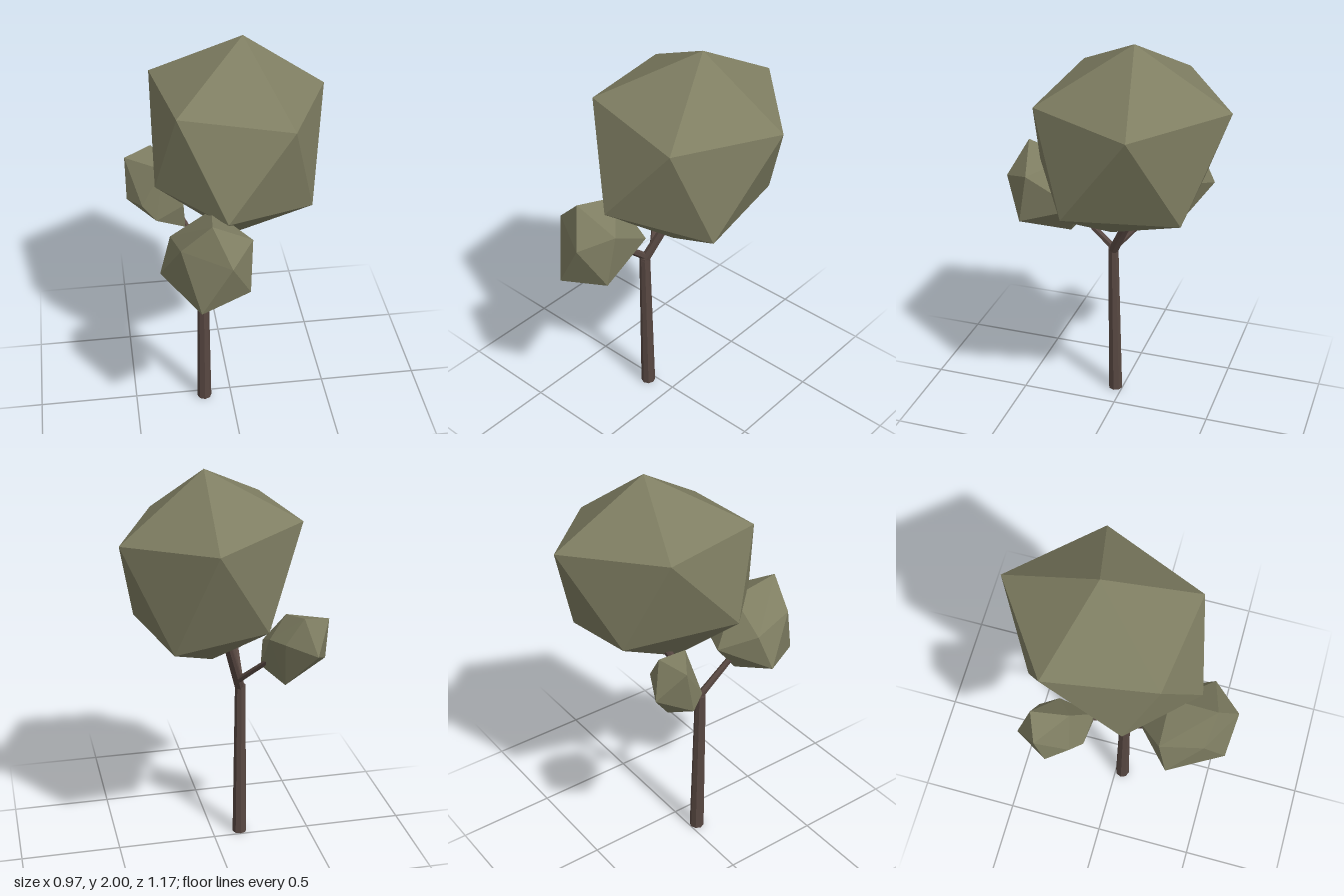
import * as THREE from 'three';
import { ConvexGeometry } from 'three/addons/geometries/ConvexGeometry.js';

export function createModel() {
  const tree = new THREE.Group();
  tree.name = 'tree';
  const foliage = new THREE.MeshStandardMaterial({ name: 'olive foliage', color: 0x7f7e62, flatShading: true });
  const bark = new THREE.MeshStandardMaterial({ name: 'brown bark', color: 0x584842, flatShading: true });

  // Faceted leaf clump: an irregular twelve-cornered icosahedron
  function clump(name, corners) {
    const geometry = new ConvexGeometry(corners.map(c => new THREE.Vector3(...c)));
    const mesh = new THREE.Mesh(geometry, foliage);
    mesh.name = name;
    tree.add(mesh);
  }

  // Tapered limb between two points
  function limb(name, from, to, r0, r1, sides) {
    const a = new THREE.Vector3(...from), b = new THREE.Vector3(...to);
    const dir = b.clone().sub(a);
    const mesh = new THREE.Mesh(new THREE.CylinderGeometry(r1, r0, dir.length(), sides), bark);
    mesh.position.copy(a).add(b).multiplyScalar(0.5);
    mesh.quaternion.setFromUnitVectors(new THREE.Vector3(0, 1, 0), dir.normalize());
    mesh.name = name;
    tree.add(mesh);
  }

  // Main crown: tip, upper ring, lower ring, bottom
  clump('mainCrown', [
    [0.075, 2, -0.12],
    [0.255, 1.715, 0.305], [-0.27, 1.785, 0.24], [-0.35, 1.775, -0.275], [0.1, 1.735, -0.585], [0.48, 1.69, -0.205],
    [-0.06, 1.32, 0.4], [0.375, 1.225, 0.14], [0.27, 1.225, -0.405], [-0.165, 1.3, -0.41], [-0.365, 1.36, 0.095],
    [0.01, 1.01, 0.01],
  ]);

  // Smaller clump on the front branch
  clump('frontClump', [
    [-0.145, 1.38, 0.49],
    [0.045, 1.26, 0.44], [-0.065, 1.205, 0.583], [-0.285, 1.245, 0.465], [-0.315, 1.19, 0.26], [-0.12, 1.32, 0.26],
    [-0.37, 1.02, 0.31], [-0.205, 0.96, 0.567], [0.03, 1.005, 0.487], [0.0, 1.1, 0.19], [-0.18, 1.1, 0.12],
    [-0.13, 0.915, 0.27],
  ]);

  // Smallest clump on the back branch
  clump('backClump', [
    [-0.35, 1.33, -0.345],
    [-0.485, 1.3, -0.29], [-0.31, 1.29, -0.17], [-0.21, 1.2, -0.25], [-0.265, 1.2, -0.335], [-0.405, 1.155, -0.403],
    [-0.485, 1.085, -0.25], [-0.415, 1.1, -0.15], [-0.35, 1.04, -0.1], [-0.21, 1.0, -0.09], [-0.29, 0.96, -0.255],
    [-0.22, 1.13, -0.08],
  ]);

  // Trunk and its three branches
  limb('trunk', [-0.142, 0, 0.037], [-0.142, 0.84, 0.049], 0.037, 0.027, 8);
  limb('mainBranch', [-0.143, 0.82, 0.053], [-0.045, 1.12, -0.09], 0.025, 0.02, 8);
  limb('frontBranch', [-0.142, 0.84, 0.045], [-0.155, 1.03, 0.26], 0.019, 0.015, 6);
  limb('backBranch', [-0.12, 0.88, 0.015], [-0.23, 1.04, -0.14], 0.016, 0.013, 6);

  return tree;
}
